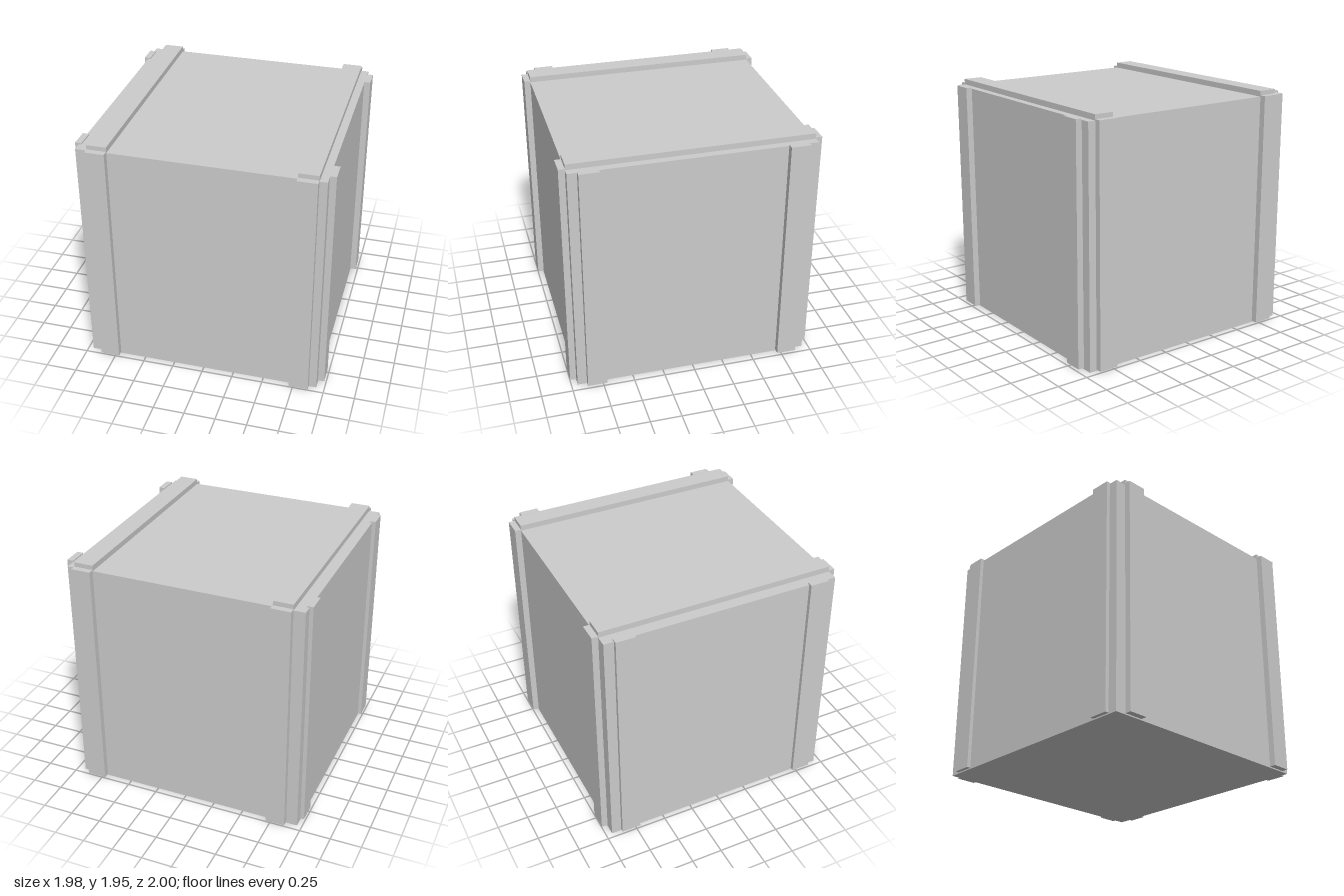
import * as THREE from 'three';

export function createModel() {
  const group = new THREE.Group();
  const material = new THREE.MeshStandardMaterial({ color: 0xcccccc, flatShading: true });

  // Box given by its extents along each axis
  function slab(name, [x0, x1], [y0, y1], [z0, z1]) {
    const mesh = new THREE.Mesh(new THREE.BoxGeometry(x1 - x0, y1 - y0, z1 - z0), material);
    mesh.position.set((x0 + x1) / 2, (y0 + y1) / 2, (z0 + z1) / 2);
    mesh.name = name;
    group.add(mesh);
  }

  // Crate body
  slab('crateBody', [-0.96, 0.935], [0, 1.905], [-0.95, 0.95]);

  const height = [0.01, 1.915];

  // Front, back and lid battens, one set near each side
  for (const [side, x] of [['Right', [-0.87, -0.715]], ['Left', [0.72, 0.875]]]) {
    slab('frontBatten' + side, x, height, [0.95, 1]);
    slab('backBatten' + side, x, height, [-1, -0.95]);
    slab('lidBatten' + side, x, [1.9, 1.95], [-0.95, 0.95]);
  }

  // Side battens, one pair near the front and one near the back
  for (const [end, z] of [['Front', [0.72, 0.875]], ['Back', [-0.87, -0.715]]]) {
    slab('leftBatten' + end, [0.935, 0.985], height, z);
    slab('rightBatten' + end, [-0.99, -0.94], height, z);
  }

  return group;
}
